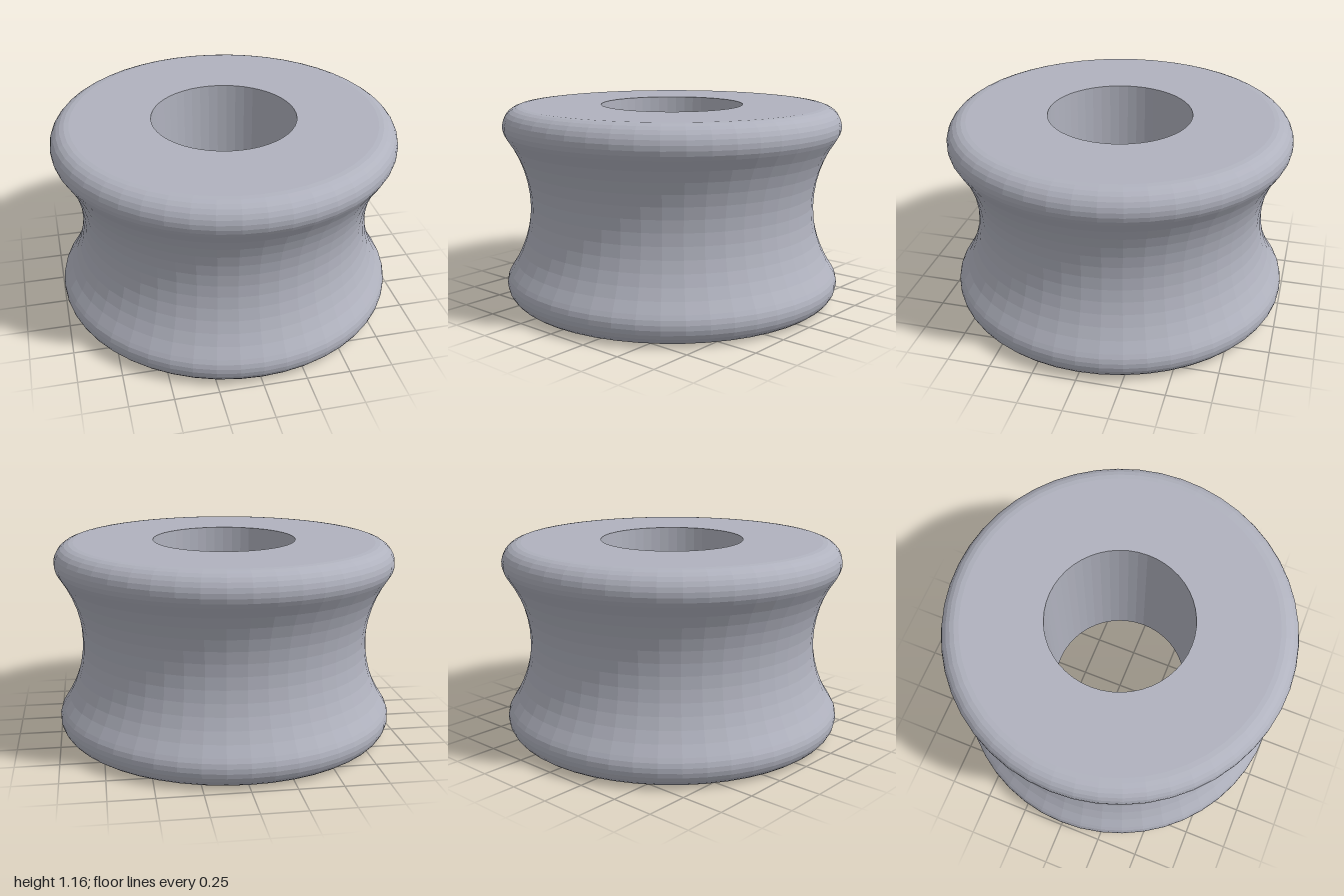
import * as THREE from 'three';

const HEIGHT = 1.165, MID = HEIGHT / 2;
const BEAD = 0.115, BEAD_X = 1 - BEAD; // rounded rim tube radius and centre
const WAIST = 0.85, BORE = 0.42, SEGMENTS = 48;

// Concave arc radius that meets both rims tangentially
const rise = MID - BEAD, d = WAIST - BEAD_X;
const GROOVE = (d * d + rise * rise - BEAD * BEAD) / (2 * (BEAD - d));
const JOIN = Math.atan2(rise, WAIST + GROOVE - BEAD_X);

// Points along an arc, from angle a to angle b
function arc(cx, cy, r, a, b, steps) {
  const points = [];
  for (let i = 0; i <= steps; i++) {
    const t = a + (b - a) * i / steps;
    points.push(new THREE.Vector2(cx + r * Math.cos(t), cy + r * Math.sin(t)));
  }
  return points;
}

function lathe(name, points, material) {
  const geometry = new THREE.LatheGeometry(points, SEGMENTS).toNonIndexed();
  geometry.computeVertexNormals();
  const mesh = new THREE.Mesh(geometry, material);
  mesh.name = name;
  return mesh;
}

export function createModel() {
  const group = new THREE.Group();
  group.name = 'groovedRoller';
  const metal = new THREE.MeshStandardMaterial({ color: 0xb0b2be, flatShading: true });
  metal.name = 'pale grey metal';

  // Outer body: bottom face, lower rim, concave groove, upper rim, top face
  const lowerRim = arc(BEAD_X, BEAD, BEAD, -Math.PI / 2, JOIN, 9);
  const groove = arc(WAIST + GROOVE, MID, GROOVE, Math.PI + JOIN, Math.PI - JOIN, 12);
  const upperRim = arc(BEAD_X, HEIGHT - BEAD, BEAD, -JOIN, Math.PI / 2, 9);
  group.add(lathe('body', [
    new THREE.Vector2(0.54, 0),
    ...lowerRim, ...groove.slice(1, -1), ...upperRim,
    new THREE.Vector2(BORE, HEIGHT),
  ], metal));

  // Straight bore with a countersink at the bottom
  group.add(lathe('bore', [
    new THREE.Vector2(BORE, HEIGHT),
    new THREE.Vector2(BORE, 0.115),
    new THREE.Vector2(0.54, 0),
  ], metal));

  return group;
}
